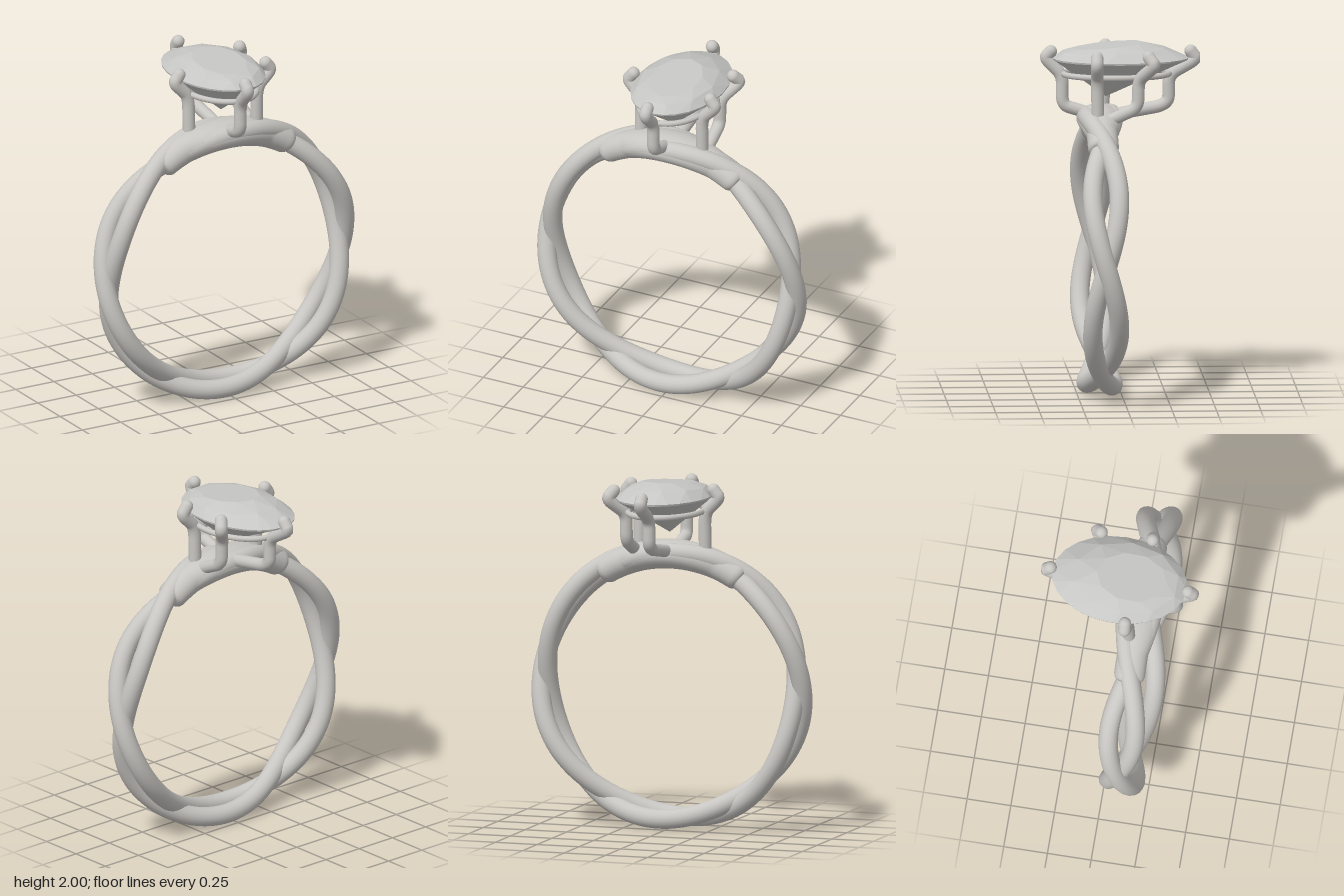
import * as THREE from 'three';
import { mergeVertices } from 'three/addons/utils/BufferGeometryUtils.js';
import { ConvexGeometry } from 'three/addons/geometries/ConvexGeometry.js';

const metal = new THREE.MeshStandardMaterial({ color: 0xc8c6c2 });
metal.name = 'metal';
const stone = new THREE.MeshStandardMaterial({ color: 0xc6c6c4 });
stone.name = 'stone';
stone.flatShading = true;

const CY = 0.815, CZ = 0.12, R = 0.76, WIRE = 0.055, SWING = 0.075, LIFT = 0.02;
const V = (x, y, z) => new THREE.Vector3(x, y, z);

// point on the ring: angle from +x, distance from the centre, depth
const onRing = (a, r, z) => V(r * Math.cos(a), CY + r * Math.sin(a), CZ + z);

function addMesh(parent, name, geometry, material = metal) {
  const mesh = new THREE.Mesh(geometry, material);
  mesh.name = name;
  parent.add(mesh);
  return mesh;
}

// one closed strand that weaves around the ring three times
class StrandCurve extends THREE.Curve {
  constructor(side) {
    super();
    this.side = side;
  }
  getPoint(t, target = new THREE.Vector3()) {
    const a = t * Math.PI * 2;
    return target.copy(onRing(a, R + this.side * LIFT * Math.cos(3 * a), this.side * SWING * Math.sin(3 * a)));
  }
}

// solid sleeve over the top: a cylinder bent along the ring
function sleeveGeometry() {
  const geo = new THREE.CylinderGeometry(1, 1, 1, 32, 72);
  const p = geo.attributes.position;
  for (let i = 0; i < p.count; i++) {
    const s = p.getY(i) * 2;
    const a = Math.PI / 2 + s * THREE.MathUtils.degToRad(34);
    const end = 0.78 + 0.22 * Math.sqrt(Math.max(0, Math.min(1, (1 - Math.abs(s)) / 0.07)));
    const half = Math.max(0.088, WIRE + SWING * Math.abs(Math.sin(3 * a)));
    const thick = 0.078 + 0.005 * (1 - s * s);
    p.setXYZ(i, ...onRing(a, 0.745 + p.getX(i) * thick * end, p.getZ(i) * half * end).toArray());
  }
  geo.deleteAttribute('uv');
  geo.deleteAttribute('normal');
  const merged = mergeVertices(geo, 1e-4);
  merged.computeVertexNormals();
  return merged;
}

// bent round wire with a ball tip
function addProng(parent, name, points) {
  const group = new THREE.Group();
  group.name = name;
  const pts = points.map((q) => V(...q));
  const path = new THREE.CurvePath();
  // straight runs joined by rounded bends
  let last = pts[0];
  for (let i = 1; i < pts.length - 1; i++) {
    const bend = pts[i];
    const before = bend.clone().lerp(pts[i - 1], 0.3);
    const after = bend.clone().lerp(pts[i + 1], 0.3);
    path.add(new THREE.LineCurve3(last, before));
    path.add(new THREE.QuadraticBezierCurve3(before, bend, after));
    last = after;
  }
  path.add(new THREE.LineCurve3(last, pts[pts.length - 1]));
  addMesh(group, 'prongWire', new THREE.TubeGeometry(path, 56, 0.036, 14));
  for (const end of [pts[0], pts[pts.length - 1]]) {
    addMesh(group, 'prongTip', new THREE.SphereGeometry(0.036, 14, 10)).position.copy(end);
  }
  parent.add(group);
}

// oval ring of points; slope tilts it along z
function oval(n, hx, hz, cz, y, slope = 0, turn = 0) {
  return Array.from({ length: n }, (_, i) => {
    const a = ((i + turn) / n) * Math.PI * 2;
    const z = hz * Math.cos(a);
    return V(hx * Math.sin(a), y + slope * z, cz + z);
  });
}

export function createModel() {
  const ring = new THREE.Group();
  ring.name = 'ring';

  // twisted band
  const band = new THREE.Group();
  band.name = 'band';
  for (const side of [1, -1]) {
    addMesh(band, 'strand', new THREE.TubeGeometry(new StrandCurve(side), 220, WIRE, 18, true));
  }
  addMesh(band, 'topSleeve', sleeveGeometry());
  ring.add(band);

  // setting: five prongs and a thin oval rail
  const setting = new THREE.Group();
  setting.name = 'setting';
  addProng(setting, 'frontProng', [
    [-0.02, 1.945, 0.395], [-0.02, 1.91, 0.43], [-0.015, 1.81, 0.33],
    [-0.015, 1.64, 0.33], [-0.01, 1.6, 0.2], [0, 1.57, 0.12]]);
  addProng(setting, 'backProng', [
    [0, 1.945, -0.395], [0, 1.9, -0.43], [0, 1.81, -0.27],
    [0, 1.64, -0.27], [0, 1.59, 0.02], [0, 1.57, 0.1]]);
  addProng(setting, 'leftFrontProng', [
    [0.255, 1.945, 0.148], [0.29, 1.9, 0.15], [0.2, 1.81, 0.145], [0.2, 1.57, 0.14]]);
  addProng(setting, 'leftBackProng', [
    [0.255, 1.945, -0.145], [0.285, 1.9, -0.18], [0.2, 1.81, -0.09],
    [0.2, 1.65, -0.085], [0.2, 1.58, 0.07]]);
  addProng(setting, 'rightProng', [
    [-0.265, 1.945, 0.073], [-0.3, 1.9, 0.075], [-0.21, 1.81, 0.08], [-0.21, 1.57, 0.09]]);
  const rail = new THREE.CatmullRomCurve3(oval(24, 0.205, 0.3, 0.025, 1.82), true);
  addMesh(setting, 'rail', new THREE.TubeGeometry(rail, 72, 0.017, 10, true));
  ring.add(setting);

  // faceted oval stone: girdle, crown, tilted table and point
  const stonePoints = [
    ...oval(24, 0.26, 0.385, 0, 1.91),
    ...oval(24, 0.258, 0.382, 0, 1.9),
    ...oval(10, 0.215, 0.3, 0.04, 1.957, -0.033, 0.5),
    ...oval(10, 0.145, 0.2, 0.07, 1.982, -0.088),
    ...oval(10, 0.14, 0.2, 0.045, 1.805, 0, 0.5),
    V(0, 1.69, 0.085)];
  addMesh(ring, 'stone', new ConvexGeometry(stonePoints), stone);

  return ring;
}
